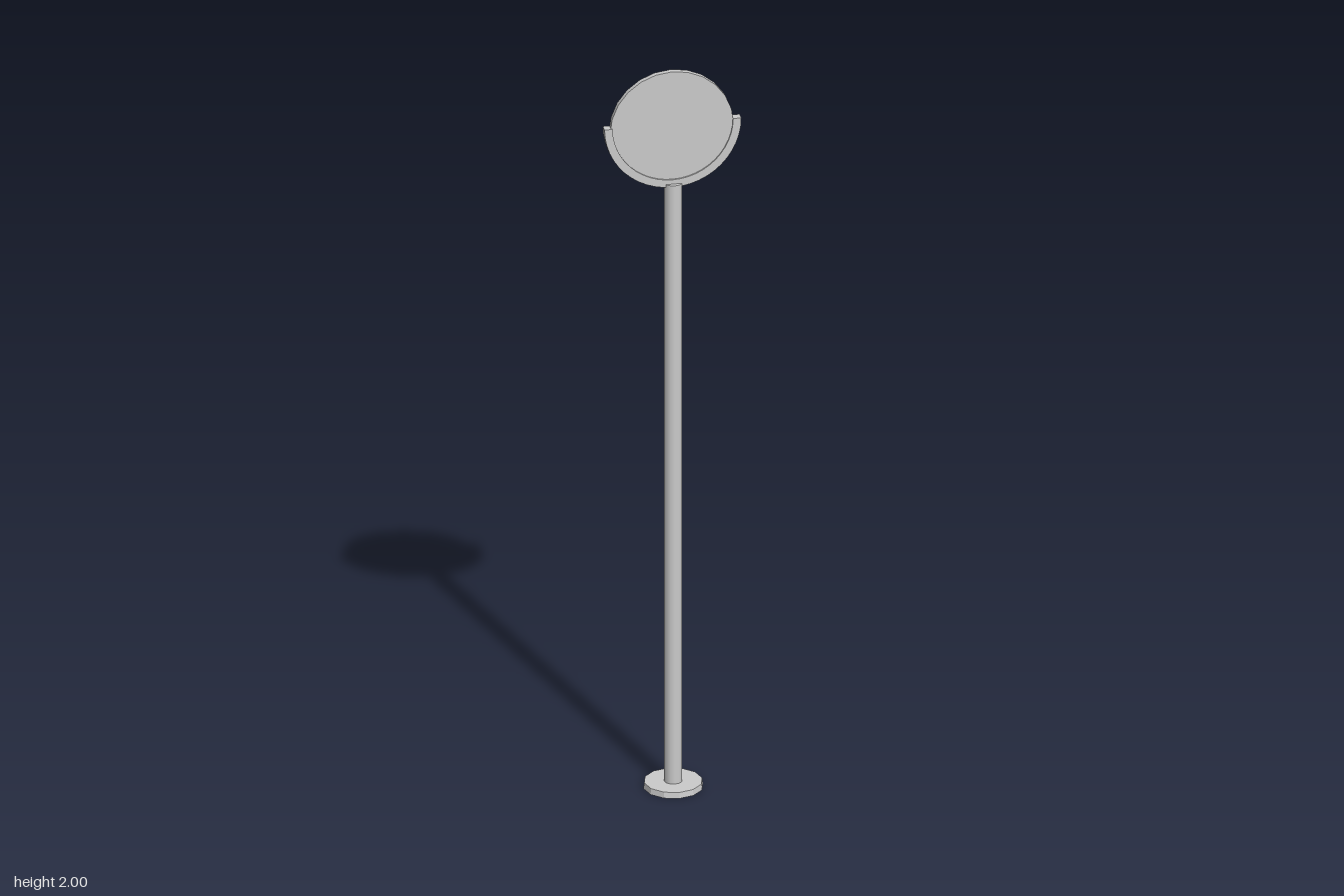
import * as THREE from 'three';

export function createModel() {
  const group = new THREE.Group();
  const smooth = new THREE.MeshStandardMaterial({ color: 0xcccccc });
  const flat = new THREE.MeshStandardMaterial({ color: 0xcccccc, flatShading: true });

  const add = (name, geometry, material, x, y, z) => {
    const mesh = new THREE.Mesh(geometry, material);
    mesh.name = name;
    mesh.position.set(x, y, z);
    group.add(mesh);
    return mesh;
  };

  // Twelve-sided foot plate with a slightly narrower top
  add('base', new THREE.CylinderGeometry(0.075, 0.077, 0.016, 12), flat, 0.003, 0.008, -0.001);

  // Tall slim post
  add('pole', new THREE.CylinderGeometry(0.0235, 0.0235, 1.687, 12), smooth, 0.003, 0.8445, -0.001);

  // Round sign panel, standing upright
  const panel = add('signPanel', new THREE.CylinderGeometry(0.16, 0.16, 0.015, 24), smooth, -0.002, 1.84, -0.001);
  panel.rotation.x = Math.PI / 2;

  // Half-ring cradle around the lower half of the panel
  const cradle = new THREE.Shape();
  cradle.absarc(0, 0, 0.177, Math.PI, 2 * Math.PI, false);
  cradle.absarc(0, 0, 0.156, 2 * Math.PI, Math.PI, true);
  cradle.closePath();
  const depth = 0.023;
  const ring = new THREE.ExtrudeGeometry(cradle, { depth, bevelEnabled: false, curveSegments: 12 });
  ring.translate(0, 0, -depth / 2);
  add('cradle', ring, flat, 0, 1.856, -0.001);

  return group;
}
